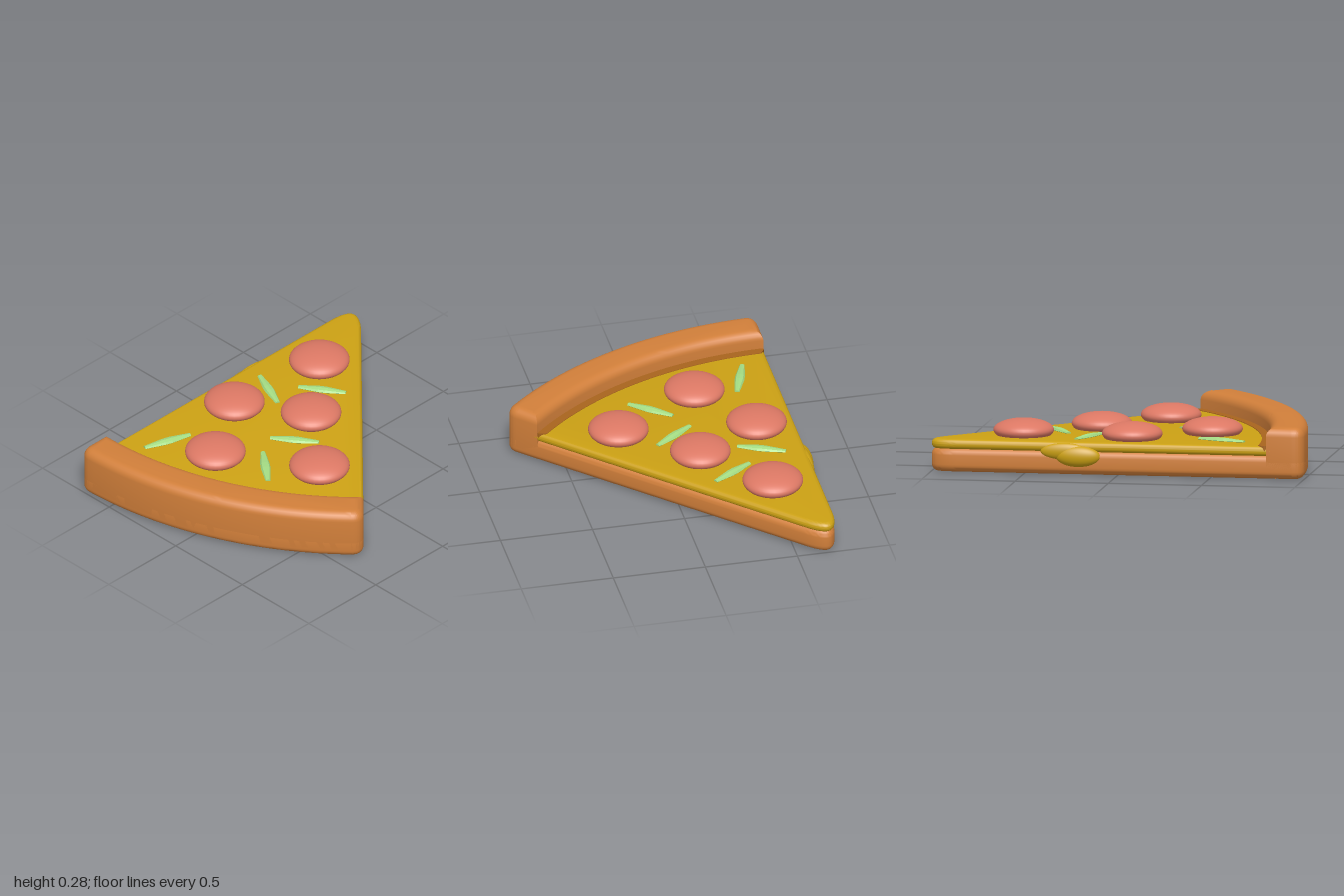
import * as THREE from 'three';
import { toCreasedNormals } from 'three/addons/utils/BufferGeometryUtils.js';

// The slice is a sector around its apex; shape y is -z
const APEX = { x: -0.722, y: 1.1 };
const A0 = -Math.PI / 2, A1 = A0 + THREE.MathUtils.degToRad(45.6);
const R_OUT = 2.1, R_IN = 1.9;

const mat = (color, extra = {}) => new THREE.MeshStandardMaterial({ color, roughness: 0.8, ...extra });
const CRUST = mat(0xd17f3a), CHEESE = mat(0xcca114), SAUCE = mat(0xa8641e);
const SAUSAGE = mat(0xdc7864), PEPPER = mat(0xa4dc84, { flatShading: true });

const polar = (r, a) => [APEX.x + r * Math.cos(a), APEX.y + r * Math.sin(a)];

// Outer arc with rounded corners (fillet f), leaving the path on the A1 side
function startArc(r, f) {
  const s = new THREE.Shape();
  s.moveTo(...polar(r - f, A0));
  if (f) s.quadraticCurveTo(...polar(r, A0), ...polar(r, A0 + f / r));
  s.absarc(APEX.x, APEX.y, r, A0 + f / r, A1 - f / r, false);
  if (f) s.quadraticCurveTo(...polar(r, A1), ...polar(r - f, A1));
  return s;
}

// Wedge with a rounded tip
function wedge(r, f) {
  const s = startArc(r, f);
  s.lineTo(...polar(0.24, A1));
  s.quadraticCurveTo(APEX.x, APEX.y, ...polar(0.24, A0));
  s.closePath();
  return s;
}

// Curved band between two radii
function band(r0, r1, f, trim = 0) {
  const s = startArc(r1, f);
  s.absarc(APEX.x, APEX.y, r0, A1 - trim, A0 + trim, true);
  s.closePath();
  return s;
}

// Lying slab from y0 to y1 with rounded rims
function slab(name, shape, y0, y1, bevel, material) {
  const geo = new THREE.ExtrudeGeometry(shape, {
    depth: y1 - y0 - 2 * bevel, curveSegments: 24,
    bevelEnabled: bevel > 0, bevelThickness: bevel, bevelSize: bevel, bevelOffset: -bevel, bevelSegments: 6,
  });
  geo.translate(0, 0, y0 + bevel);
  geo.rotateX(-Math.PI / 2);
  const mesh = new THREE.Mesh(toCreasedNormals(geo, 0.65), material);
  mesh.name = name;
  return mesh;
}

function ellipsoid(name, pos, scale, material) {
  const mesh = new THREE.Mesh(new THREE.SphereGeometry(1, 40, 24), material);
  mesh.name = name;
  mesh.position.set(...pos);
  mesh.scale.set(...scale);
  return mesh;
}

export function createModel() {
  const group = new THREE.Group();
  group.name = 'pizzaSlice';

  // Dough, raised crust, cheese layer and the sauce line beside the crust
  group.add(
    slab('doughBase', wedge(R_OUT, 0.07), 0, 0.13, 0.04, CRUST),
    slab('crust', band(R_IN, R_OUT, 0.07), 0, 0.275, 0.05, CRUST),
    slab('cheese', wedge(R_IN + 0.02, 0), 0.122, 0.175, 0.025, CHEESE),
    slab('sauceLine', band(R_IN - 0.045, R_IN + 0.005, 0.015, 0.012), 0.15, 0.178, 0, SAUCE),
  );

  // Cheese drip hanging over the straight edge
  group.add(
    ellipsoid('cheeseDrip', [-0.715, 0.1, -0.21], [0.043, 0.057, 0.12], CHEESE),
    ellipsoid('cheeseDripShoulder', [-0.715, 0.125, -0.28], [0.027, 0.045, 0.13], CHEESE),
  );

  // Sausage rounds
  for (const [x, z] of [[-0.47, -0.54], [-0.16, -0.17], [-0.515, 0.05], [0.215, 0.14], [-0.265, 0.44]])
    group.add(ellipsoid('sausageRound', [x, 0.202, z], [0.161, 0.061, 0.161], SAUSAGE));

  // Pepper strips: flattened spindles laid between two end points
  const strips = [
    [-0.395, -0.31, -0.18, -0.45], [-0.61, -0.235, -0.37, -0.13], [-0.17, 0.125, 0.04, -0.03],
    [-0.105, 0.245, 0.1, 0.41], [-0.49, 0.405, -0.575, 0.66],
  ];
  for (const [x0, z0, x1, z1] of strips) {
    const half = Math.hypot(x1 - x0, z1 - z0) / 2;
    const profile = [[0, -half], [0.013, -half], [0.026, -half * 0.15], [0.026, half * 0.15], [0.013, half], [0, half]]
      .map(([r, y]) => new THREE.Vector2(r, y));
    const geo = new THREE.LatheGeometry(profile, 8);
    geo.rotateX(Math.PI / 2);
    geo.scale(1, 0.6, 1);
    const strip = new THREE.Mesh(geo, PEPPER);
    strip.name = 'pepperStrip';
    strip.position.set((x0 + x1) / 2, 0.177, (z0 + z1) / 2);
    strip.rotation.y = Math.atan2(x1 - x0, z1 - z0);
    group.add(strip);
  }
  return group;
}
